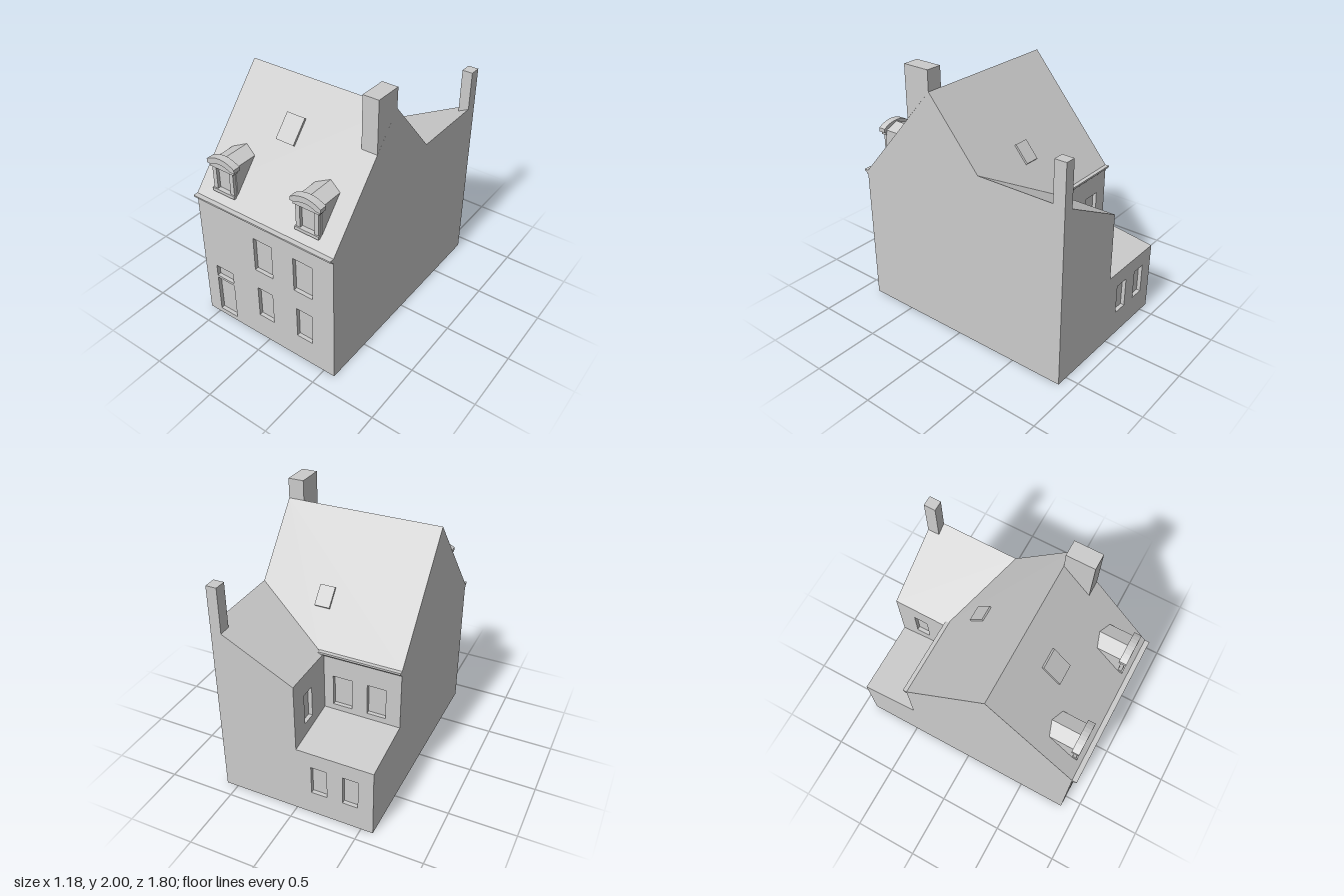
import * as THREE from 'three';

const mat = new THREE.MeshStandardMaterial({ color: 0xcccccc, flatShading: true, side: THREE.DoubleSide });

function mesh(name, geo) {
  const m = new THREE.Mesh(geo, mat);
  m.name = name;
  return m;
}

const shapeOf = pts => new THREE.Shape(pts.map(p => new THREE.Vector2(...p)));
const rect = (x0, x1, y0, y1) => [[x0, y0], [x1, y0], [x1, y1], [x0, y1]];

function box(name, x0, x1, y0, y1, z0, z1) {
  const g = new THREE.BoxGeometry(x1 - x0, y1 - y0, z1 - z0);
  g.translate((x0 + x1) / 2, (y0 + y1) / 2, (z0 + z1) / 2);
  return mesh(name, g);
}

// Box without its front face: the reveal and pane of a window
function recess(name, [x0, x1, y0, y1], depth) {
  const m = box(name, x0, x1, y0, y1, -depth, 0);
  m.geometry.setIndex([...m.geometry.index.array].filter((_, i) => i < 24 || i >= 30));
  return m;
}

// Flat wall with recessed openings, turned about y and moved out along its normal
function wall(name, outline, openings, angle, offset) {
  const g = new THREE.Group();
  g.name = name;
  const s = shapeOf(outline);
  for (const o of openings) {
    s.holes.push(new THREE.Path(rect(...o).map(p => new THREE.Vector2(...p))));
    g.add(recess('windowRecess', o, 0.03));
  }
  g.add(mesh(name + 'Surface', new THREE.ShapeGeometry(s)));
  g.rotation.y = angle;
  g.position.set(Math.sin(angle) * offset, 0, Math.cos(angle) * offset);
  return g;
}

// Flat convex polygon through 3D corners
function polygon(name, pts) {
  const g = new THREE.BufferGeometry();
  g.setAttribute('position', new THREE.Float32BufferAttribute(pts.flat(), 3));
  const idx = [];
  for (let i = 1; i < pts.length - 1; i++) idx.push(0, i, i + 1);
  g.setIndex(idx);
  g.computeVertexNormals();
  return mesh(name, g);
}

// Profile given as [z, y], swept along x
function sweepX(name, profile, x0, x1) {
  const s = shapeOf(profile.map(([z, y]) => [-z, y]));
  const g = new THREE.ExtrudeGeometry(s, { depth: x1 - x0, bevelEnabled: false });
  g.rotateY(Math.PI / 2).translate(x0, 0, 0);
  return mesh(name, g);
}

function extrudeZ(name, shape, z0, z1) {
  const g = new THREE.ExtrudeGeometry(shape, { depth: z1 - z0, bevelEnabled: false, curveSegments: 8 });
  return mesh(name, g.translate(0, 0, z0));
}

const W = 0.59, FRONT = 0.87, BACK = -0.9, MID = -0.46, INNER = -0.01;
const EAVE = 1.08, RIDGE = 1.85, RIDGE_Z = 0.2;
const frontRoofZ = y => RIDGE_Z + (RIDGE - y) * (FRONT - RIDGE_Z) / (RIDGE - EAVE);
const backRoofY = z => RIDGE - (RIDGE_Z - z) * (RIDGE - EAVE) / (RIDGE_Z - MID);

function dormer(x) {
  const g = new THREE.Group();
  g.name = 'dormer';
  // Gabled body, its back end cut along the main roof
  const body = extrudeZ('dormerBody', shapeOf([[-0.1, 1.14], [0.1, 1.14], [0.1, 1.38], [0, 1.42], [-0.1, 1.38]]), 0, 0.8);
  const p = body.geometry.attributes.position;
  for (let i = 0; i < p.count; i++) if (p.getZ(i) < 0.1) p.setZ(i, Math.min(0.8, frontRoofZ(p.getY(i))));
  for (let i = 0; i < p.count; i++) if (p.getY(i) < 1.15) p.setY(i, 1.16);
  body.geometry.computeVertexNormals();
  g.add(body);
  // Window surround
  const frame = shapeOf(rect(-0.092, 0.092, 1.16, 1.37));
  frame.holes.push(new THREE.Path(rect(-0.058, 0.058, 1.165, 1.335).map(q => new THREE.Vector2(...q))));
  g.add(extrudeZ('dormerFrame', frame, 0.795, 0.825));
  g.add(box('dormerSill', -0.097, 0.097, 1.14, 1.165, 0.79, 0.835));
  // Arched cornice with stepped ends
  g.add(box('corniceStep', -0.107, 0.107, 1.34, 1.37, 0.79, 0.832));
  const c = new THREE.Shape();
  c.moveTo(-0.122, 1.363);
  c.lineTo(-0.085, 1.363);
  c.quadraticCurveTo(0, 1.41, 0.085, 1.363);
  c.lineTo(0.122, 1.363);
  c.lineTo(0.122, 1.393);
  c.quadraticCurveTo(0, 1.47, -0.122, 1.393);
  g.add(extrudeZ('dormerCornice', c, 0.785, 0.84));
  g.add(box('corniceInfill', -0.085, 0.085, 1.36, 1.39, 0.79, 0.832));
  g.position.x = x;
  return g;
}

export function createModel() {
  const house = new THREE.Group();
  house.name = 'house';
  const H = Math.PI / 2;

  // Outer walls; the underside is open
  house.add(wall('frontWall', rect(-W, W, 0, EAVE), [
    [-0.48, -0.32, 0.04, 0.355], [-0.48, -0.32, 0.375, 0.47],
    [-0.08, 0.055, 0.205, 0.47], [0.27, 0.405, 0.21, 0.47],
    [-0.09, 0.07, 0.635, 0.915], [0.255, 0.415, 0.635, 0.915],
  ], 0, FRONT));
  house.add(wall('leftWall', [[-FRONT, 0], [-BACK, 0], [-BACK, 1.37], [0.21, 1.37], [-RIDGE_Z, RIDGE], [-FRONT, EAVE]], [], H, W));
  house.add(wall('rightWall', [[BACK, 0], [FRONT, 0], [FRONT, EAVE], [RIDGE_Z, RIDGE], [MID, EAVE], [MID, 0.605], [BACK, 0.54]], [], -H, W));
  house.add(wall('backWall', [[-W, 0], [W, 0], [W, 0.54], [-INNER, 0.54], [-INNER, 1.06], [-W, 1.37]], [
    [0.12, 0.24, 0.19, 0.42], [0.36, 0.475, 0.19, 0.42],
  ], Math.PI, -BACK));
  house.add(wall('upperBackWall', rect(-INNER, W, 0.605, EAVE), [
    [0.08, 0.225, 0.65, 0.89], [0.34, 0.48, 0.65, 0.89],
  ], Math.PI, -MID));
  house.add(wall('wingSideWall', [[BACK, 0.54], [MID, 0.605], [MID, 1.06], [BACK, 1.06]], [
    [-0.76, -0.65, 0.66, 0.9],
  ], -H, -INNER));

  // Roof planes, meeting in a valley over the wing
  house.add(polygon('frontRoof', [[-W, EAVE, FRONT], [W, EAVE, FRONT], [W, RIDGE, RIDGE_Z], [-W, RIDGE, RIDGE_Z]]));
  house.add(polygon('backRoof', [[W, RIDGE, RIDGE_Z], [W, 1.37, -0.21], [0.03, EAVE, MID], [-W, EAVE, MID], [-W, RIDGE, RIDGE_Z]]));
  house.add(polygon('wingRoof', [[INNER, 1.06, BACK], [INNER, 1.06, MID], [0.03, EAVE, MID], [W, 1.37, -0.21], [W, 1.37, BACK]]));
  house.add(polygon('extensionRoof', [[-W, 0.54, BACK], [-W, 0.605, MID], [INNER, 0.605, MID], [INNER, 0.54, BACK]]));

  // Eaves mouldings
  house.add(sweepX('frontCornice', [[0.865, 1.05], [0.882, 1.05], [0.888, 1.065], [0.905, 1.07], [0.905, 1.082], [0.865, 1.082]], -W, W));
  house.add(sweepX('backGutter', [[-0.455, 1.05], [-0.47, 1.05], [-0.488, 1.068], [-0.488, 1.082], [-0.455, 1.082]], -W, 0.02));

  // Chimneys
  house.add(sweepX('frontChimney', [[0.41, 1.61], [0.41, 2], [RIDGE_Z, 2], [RIDGE_Z, RIDGE]], 0.47, W));
  house.add(box('backChimney', 0.51, W, 1.33, 1.67, BACK, -0.81));

  // Skylights lying on the slopes
  const yF = z => RIDGE - (z - RIDGE_Z) * (RIDGE - EAVE) / (FRONT - RIDGE_Z);
  const skylight = (name, f, za, zb, x0, x1, n) => sweepX(name,
    [[za, f(za)], [za + n, f(za) + 0.011], [zb + n, f(zb) + 0.011], [zb, f(zb)]], x0, x1);
  house.add(skylight('frontSkylight', yF, 0.505, 0.375, -0.15, 0, 0.013));
  house.add(skylight('backSkylight', backRoofY, -0.17, -0.27, 0.035, 0.15, -0.01));

  for (const x of [-0.365, 0.35]) house.add(dormer(x));
  return house;
}
